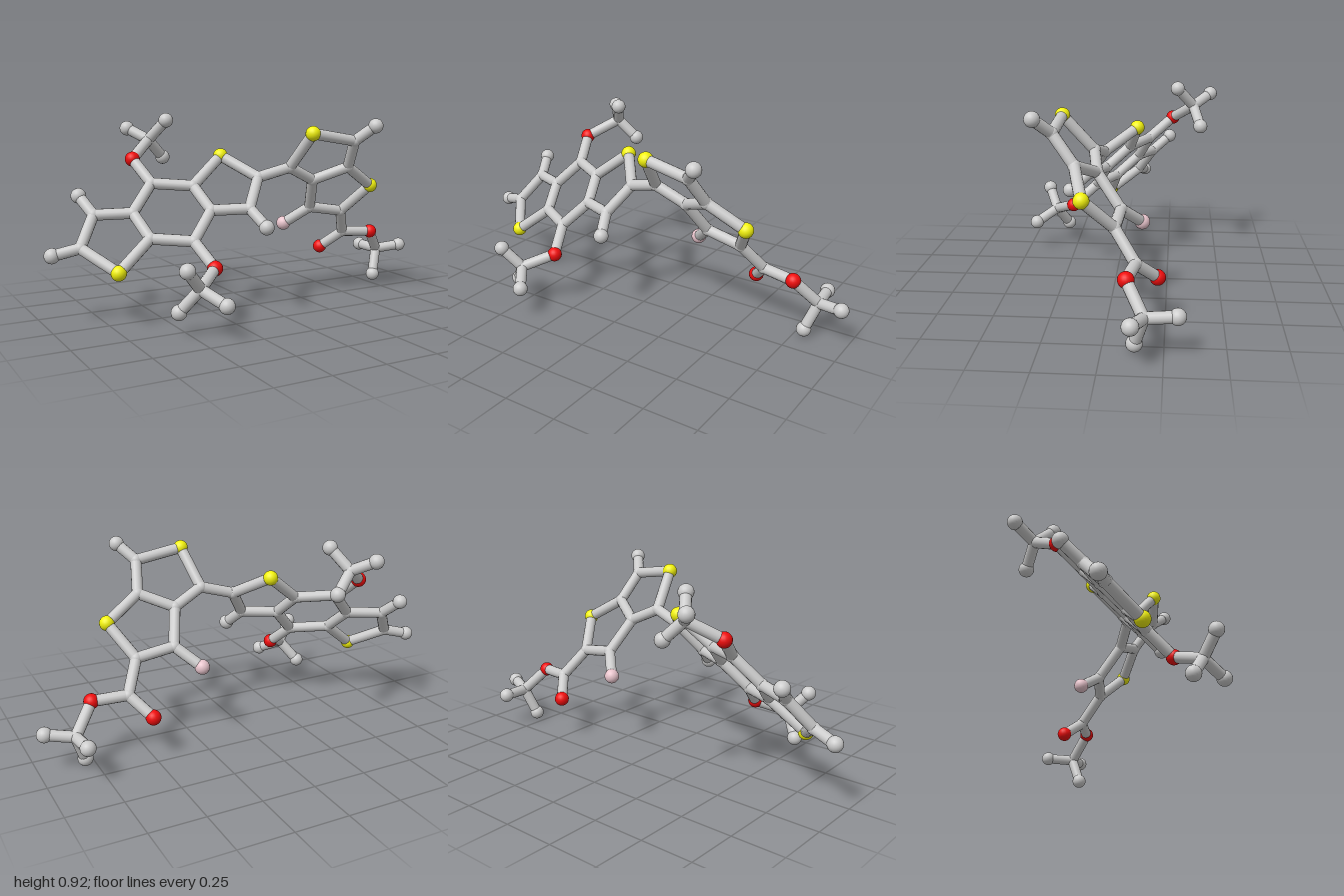
import * as THREE from 'three';

const BOND_R = 0.026;
const ELEMENTS = {
  C: { name: 'carbon', r: 0.029, color: 0xcccccc },
  H: { name: 'hydrogen', r: 0.035, color: 0xcccccc },
  S: { name: 'sulfur', r: 0.035, color: 0xf2f20d },
  O: { name: 'oxygen', r: 0.035, color: 0xf00d0d },
  F: { name: 'fluorine', r: 0.035, color: 0xe8c4cc },
};
for (const e of Object.values(ELEMENTS)) {
  e.material = new THREE.MeshStandardMaterial({ color: e.color });
  e.geometry = new THREE.SphereGeometry(e.r, 20, 14);
}
const bondGeometry = new THREE.CylinderGeometry(BOND_R, BOND_R, 1, 14, 1, true);
const UP = new THREE.Vector3(0, 1, 0);
const v = (x, y, z) => new THREE.Vector3(x, y, z);

// Atoms are keyed by label; the first letter gives the element
function buildUnit(name, atoms, bonds) {
  const group = new THREE.Group();
  group.name = name;
  for (const [label, p] of Object.entries(atoms)) {
    const e = ELEMENTS[label[0]];
    const ball = new THREE.Mesh(e.geometry, e.material);
    ball.name = e.name + 'Atom';
    ball.position.copy(p);
    group.add(ball);
  }
  for (const pair of bonds.split(' ')) {
    const [a, b] = pair.split('-').map((k) => atoms[k]);
    const dir = b.clone().sub(a);
    const stick = new THREE.Mesh(bondGeometry, ELEMENTS.C.material);
    stick.name = 'bond';
    stick.scale.y = dir.length();
    stick.position.copy(a).addScaledVector(dir, 0.5);
    stick.quaternion.setFromUnitVectors(UP, dir.normalize());
    group.add(stick);
  }
  return group;
}

export function createModel() {
  const model = new THREE.Group();
  model.name = 'molecule';

  // Three fused rings: a flat, point-symmetric unit around its centre
  const centre = v(-0.44, 0.488, -0.006);
  const half = {
    Ca: [-0.044, 0.118], Cb: [0.125, 0.106], Cc: [0.16, 0.004],
    Cd: [0.32, 0.01], Ce: [0.41, 0.14],
    S: [0.29, 0.235], O: [-0.087, 0.222], H: [0.357, -0.068],
  };
  const fused = {};
  for (const [k, [x, y]] of Object.entries(half)) {
    const p = v(x, y, 0.4826 * x - 0.966 * y);
    fused[k + '1'] = centre.clone().add(p);
    fused[k + '2'] = centre.clone().sub(p);
  }
  fused.Hend = v(-0.967, 0.32, -0.1);
  let bonds = 'Ce2-Hend';
  for (const [i, j] of [[1, 2], [2, 1]]) {
    bonds += ` Ca${i}-Cb${i} Cb${i}-Cc${i} Cc${i}-Ca${j} Cc${i}-Cd${i} Cd${i}-Ce${i}`
      + ` Ce${i}-S${i} S${i}-Cb${i} Ca${i}-O${i} Cd${i}-H${i}`;
  }
  model.add(buildUnit('fusedTripleRing', fused, bonds));

  // Two fused five-sided rings lying in a second plane
  const flat = {
    C1: [0.125, 0.67], S1: [0.163, 0.834], C2: [0.385, 0.795], C3: [0.42, 0.663],
    C4: [0.27, 0.6], C5: [0.325, 0.45], C6: [0.505, 0.42], S2: [0.59, 0.559],
    F: [0.227, 0.363], H: [0.452, 0.866],
  };
  const pair = {};
  for (const [k, [x, y]] of Object.entries(flat)) {
    pair[k] = v(x, y, -0.478 + 0.2137 * x + 0.805 * y);
  }
  model.add(buildUnit('fusedDoubleRing', pair,
    'C1-S1 S1-C2 C2-C3 C3-C4 C4-C1 C4-C5 C5-C6 C6-S2 S2-C3 C5-F C2-H'));

  // Bridge between the two ring systems
  model.add(buildUnit('ringBridge', { C1: fused.Ce1, C2: pair.C1 }, 'C1-C2'));

  // Methyl groups: a carbon with three hydrogens, joined to an anchor atom
  const methyl = (name, anchor, c, hs) => {
    const atoms = { C: v(...c) };
    hs.forEach((h, i) => { atoms['H' + i] = v(...h); });
    const unit = buildUnit(name, atoms, 'C-H0 C-H1 C-H2');
    const link = buildUnit('link', { C: atoms.C, Canchor: anchor }, 'C-Canchor');
    unit.add(link);
    model.add(unit);
  };
  methyl('upperMethyl', fused.O1, [-0.404, 0.792, -0.366],
    [[-0.345, 0.887, -0.285], [-0.48, 0.845, -0.452], [-0.316, 0.702, -0.402]]);
  methyl('lowerMethyl', fused.O2, [-0.473, 0.21, 0.355],
    [[-0.548, 0.108, 0.3], [-0.4, 0.152, 0.455], [-0.553, 0.305, 0.403]]);

  // Ester tail
  const ester = {
    C1: pair.C6, C2: v(0.582, 0.292, -0.125),
    O1: v(0.503, 0.204, -0.216), O2: v(0.742, 0.283, -0.095),
  };
  model.add(buildUnit('esterTail', ester, 'C1-C2 C2-O1 C2-O2'));
  methyl('tailMethyl', ester.O2, [0.842, 0.167, -0.17],
    [[0.795, 0.037, -0.132], [0.965, 0.185, -0.125], [0.83, 0.172, -0.303]]);

  return model;
}
